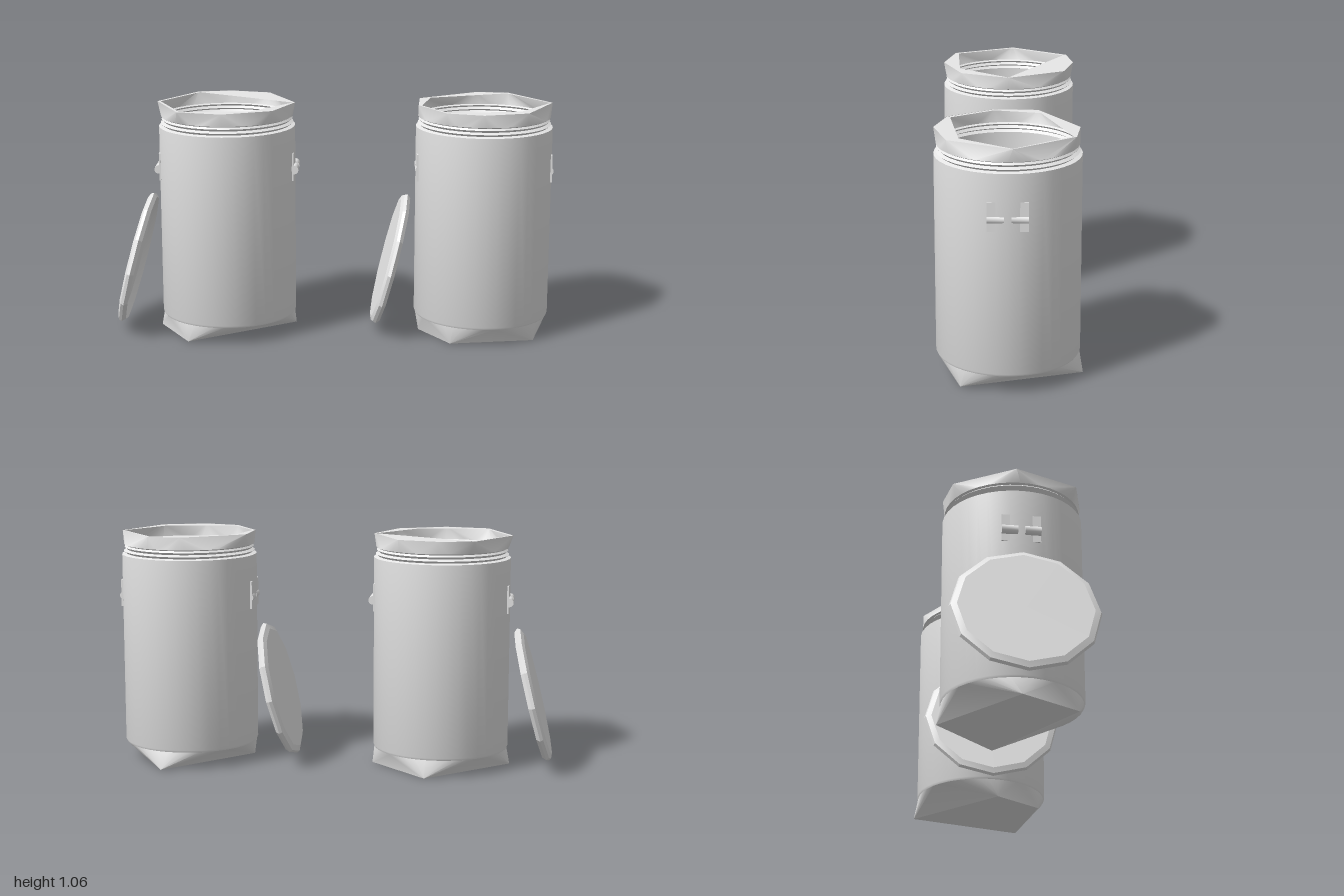
import * as THREE from 'three';
import { toCreasedNormals } from 'three/addons/utils/BufferGeometryUtils.js';

const metal = new THREE.MeshStandardMaterial({ color: 0xe7e7e7, side: THREE.DoubleSide });
metal.name = 'grey metal';

function add(parent, name, geometry, crease = 0.5) {
  const mesh = new THREE.Mesh(toCreasedNormals(geometry, crease), metal);
  mesh.name = name;
  parent.add(mesh);
  return mesh;
}

const lathe = (points, sides) =>
  new THREE.LatheGeometry(points.map(([r, y]) => new THREE.Vector2(r, y)), sides);

const toPoints = (corners, flip = 1) => corners.map(([x, z]) => new THREE.Vector2(x, flip * z));

// Faceted band joining a round edge to a rough polygon of [x, z] corners
function skirt(corners, yCorners, radius, yRound, sides = 40) {
  const TAU = Math.PI * 2;
  const turn = (x, z) => (Math.atan2(z, x) + TAU) % TAU;
  const ring = [...corners].sort((a, b) => turn(...a) - turn(...b));
  const nearest = (a) => {
    let best = 0, bestDot = -Infinity;
    ring.forEach(([x, z], i) => {
      const dot = Math.cos(a - turn(x, z));
      if (dot > bestDot) { bestDot = dot; best = i; }
    });
    return best;
  };
  const round = (a) => [radius * Math.cos(a), yRound, radius * Math.sin(a)];
  const corner = (i) => [ring[i][0], yCorners, ring[i][1]];
  const up = yCorners > yRound;
  const pos = [];
  const tri = (a, b, c) => pos.push(...a, ...(up ? c : b), ...(up ? b : c));
  for (let i = 0; i < sides; i++) {
    const a = (i / sides) * TAU, b = ((i + 1) / sides) * TAU;
    const p = nearest(a), q = nearest(b);
    tri(round(a), round(b), corner(p));
    if (p !== q) tri(round(b), corner(q), corner(p));
  }
  const g = new THREE.BufferGeometry();
  g.setAttribute('position', new THREE.Float32BufferAttribute(pos, 3));
  g.computeVertexNormals();
  return g;
}

function makeCan({ x, rim, mouth, base, gripX }) {
  const can = new THREE.Group();
  can.name = 'can';
  can.position.x = x;

  // Round wall with a ridged neck
  add(can, 'wall', lathe([
    [0.305, 0.08], [0.31, 0.09], [0.31, 0.957], [0.29, 0.962], [0.302, 0.972],
    [0.287, 0.98], [0.298, 0.99], [0.29, 0.998], [0.3, 1.003]], 40));

  // Crooked rim and dented foot
  add(can, 'rim', skirt(rim, 1.06, 0.3, 1.003), 0.8);
  add(can, 'foot', skirt(base, 0, 0.305, 0.08), 0.8);

  // Flat lip around an uneven mouth
  const lip = new THREE.Shape(toPoints(rim, -1));
  lip.holes.push(new THREE.Path(toPoints(mouth, -1)));
  add(can, 'lip', new THREE.ShapeGeometry(lip).rotateX(-Math.PI / 2).translate(0, 1.059, 0));

  // Underside and inner floor
  const outline = new THREE.Shape(toPoints(base));
  add(can, 'underside', new THREE.ShapeGeometry(outline).rotateX(Math.PI / 2));
  add(can, 'floor', new THREE.CircleGeometry(0.305, 40).rotateX(-Math.PI / 2).translate(0, 0.085, 0));

  // A split grip on a thin plate at each side
  for (const side of [1, -1]) {
    const handle = new THREE.Group();
    handle.name = 'handle';
    can.add(handle);
    add(handle, 'handlePlate', new THREE.BoxGeometry(0.008, 0.125, 0.17).translate(side * 0.302, 0.775, 0));
    for (const end of [1, -1]) {
      add(handle, 'handleBar', new THREE.CylinderGeometry(0.02, 0.02, 0.07, 12)
        .rotateX(Math.PI / 2).translate(side * gripX, 0.763, end * 0.05), 0.6);
    }
  }
  return can;
}

// Shallow dished lid leaning beside its can
function makeLid(x) {
  const lid = add(new THREE.Group(), 'lid', lathe([
    [0, 0.004], [0.26, 0.004], [0.3, -0.02],
    [0.316, -0.004], [0.31, 0.01], [0.285, 0.02], [0, 0.02]], 12), 0.3);
  lid.rotation.z = Math.PI / 2 - 0.25;
  lid.position.set(x, 0.328, 0);
  return lid;
}

export function createModel() {
  const model = new THREE.Group();
  model.name = 'twoCansWithLids';
  const cans = [
    {
      x: -0.48, gripX: 0.308,
      rim: [[-0.32, -0.02], [-0.16, -0.28], [0, -0.31], [0.18, -0.26],
        [0.31, 0], [0.22, 0.22], [0, 0.31], [-0.2, 0.26]],
      mouth: [[-0.305, -0.02], [-0.15, -0.265], [0.3, 0], [0.12, 0.23], [-0.19, 0.245]],
      base: [[0.31, -0.05], [0.05, -0.32], [-0.32, 0], [-0.17, 0.26]],
    },
    {
      x: 0.69, gripX: 0.293,
      rim: [[-0.29, -0.13], [-0.02, -0.3], [0.13, -0.28], [0.31, -0.02],
        [0.18, 0.25], [-0.02, 0.31], [-0.18, 0.26], [-0.3, 0.06]],
      mouth: [[-0.24, -0.14], [0.12, -0.265], [0.3, -0.02], [0.15, 0.2], [-0.17, 0.245], [-0.285, 0.06]],
      base: [[0.23, 0.2], [0.08, -0.32], [-0.29, 0.05], [-0.15, 0.26]],
    },
  ];
  for (const spec of cans) model.add(makeCan(spec), makeLid(spec.x - 0.425));
  return model;
}
